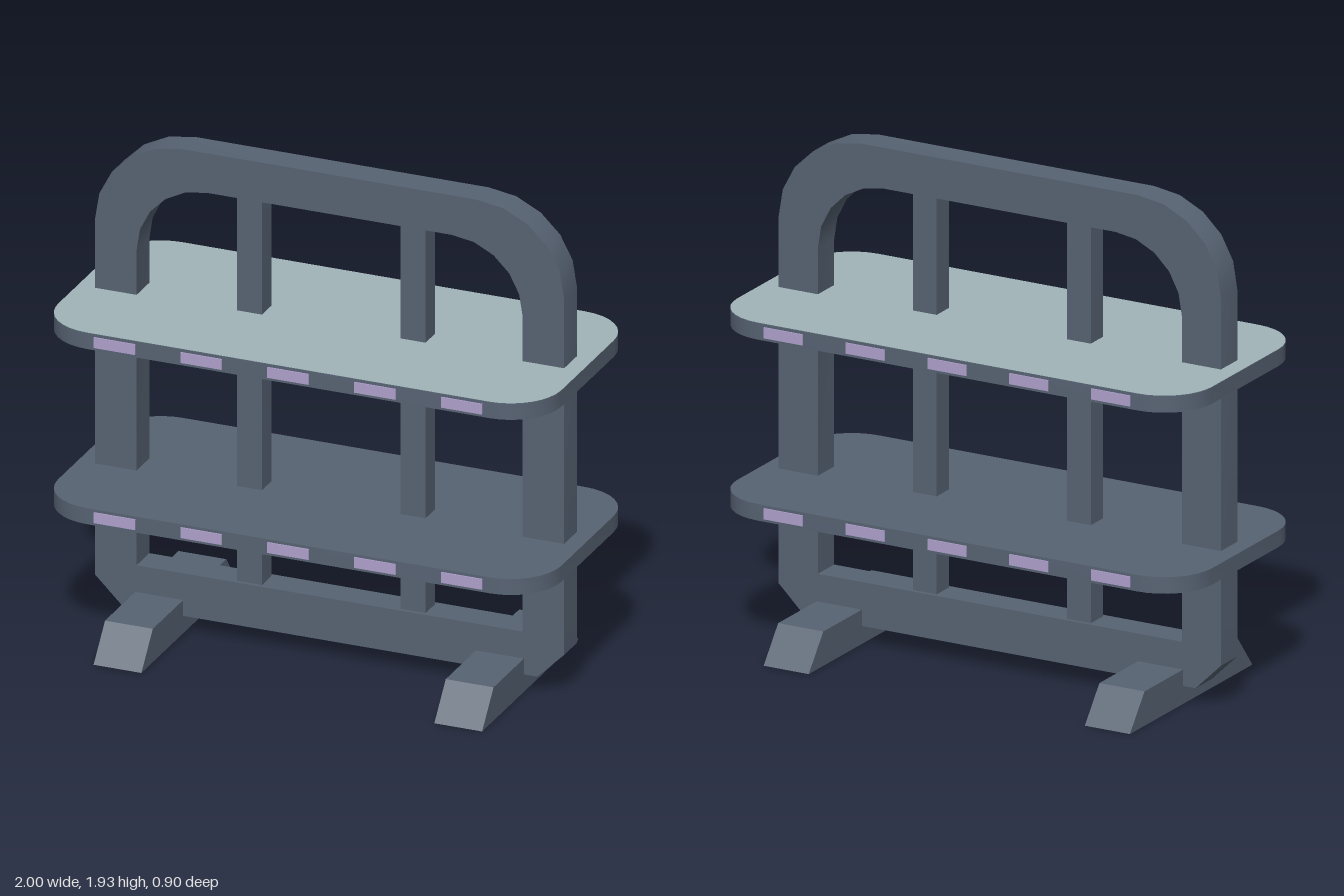
import * as THREE from 'three';
import { toCreasedNormals } from 'three/addons/utils/BufferGeometryUtils.js';

const mat = (name, color) => {
  const m = new THREE.MeshStandardMaterial({ color });
  m.name = name;
  return m;
};

// Points of a quarter ellipse from angle a (in quarter turns)
function corner(cx, cy, rx, ry, quarter, steps) {
  return Array.from({ length: steps + 1 }, (_, i) => {
    const t = (quarter + i / steps) * Math.PI / 2;
    return new THREE.Vector2(cx + rx * Math.cos(t), cy + ry * Math.sin(t));
  });
}

// Centred extrusion with smooth curves and sharp edges
function slab(shape, depth) {
  const g = new THREE.ExtrudeGeometry(shape, { depth, bevelEnabled: false });
  g.translate(0, 0, -depth / 2);
  return toCreasedNormals(g, 0.6);
}

export function createModel() {
  const model = new THREE.Group();
  model.name = 'shelfRack';
  const slate = mat('slate', 0x576373);
  const paleTop = mat('paleGreyGreen', 0xa0b4b8);
  const lilac = mat('lilac', 0xaea0cc);

  const add = (name, geometry, material, x = 0, y = 0, z = 0) => {
    const mesh = new THREE.Mesh(geometry, material);
    mesh.name = name;
    mesh.position.set(x, y, z);
    model.add(mesh);
    return mesh;
  };
  const v = (x, y) => new THREE.Vector2(x, y);

  // Upright frame: rounded top, chamfered bottom, one large opening
  const frame = new THREE.Shape([
    v(-0.825, 0.07), v(0.825, 0.07), v(0.932, 0.175),
    ...corner(0.582, 1.597, 0.35, 0.338, 0, 5),
    ...corner(-0.582, 1.597, 0.35, 0.338, 1, 5),
    v(-0.932, 0.175),
  ]);
  frame.holes.push(new THREE.Path([
    v(-0.767, 0.24), v(0.767, 0.24),
    ...corner(0.487, 1.5, 0.28, 0.277, 0, 5),
    ...corner(-0.487, 1.5, 0.28, 0.277, 1, 5),
  ]));
  add('frame', slab(frame, 0.12), slate);

  // Slim posts inside the frame
  const postGeo = new THREE.BoxGeometry(0.1, 1.537, 0.09);
  for (const s of [-1, 1]) add('post', postGeo, slate, s * 0.325, 1.0085, 0);

  // Shelves with rounded corners
  const outline = new THREE.Shape([
    ...corner(0.8, 0.245, 0.2, 0.2, 0, 8),
    ...corner(-0.8, 0.245, 0.2, 0.2, 1, 8),
    ...corner(-0.8, -0.245, 0.2, 0.2, 2, 8),
    ...corner(0.8, -0.245, 0.2, 0.2, 3, 8),
  ]);
  const shelfGeo = slab(outline, 0.064).rotateX(-Math.PI / 2);
  const tagGeo = new THREE.BoxGeometry(0.164, 0.042, 0.008);
  for (const y of [0.587, 1.287]) {
    add('shelf', shelfGeo, slate, 0, y, 0);
    // Label plates on both long edges
    for (const z of [-0.446, 0.446]) {
      for (let i = -2; i <= 2; i++) add('label', tagGeo, lilac, i * 0.345, y, z);
    }
  }
  const topGeo = new THREE.ShapeGeometry(outline).rotateX(-Math.PI / 2);
  add('upperShelfTop', topGeo, paleTop, 0, 1.321, 0);

  // Feet with sloped ends
  const footShape = new THREE.Shape([v(-0.45, 0), v(0.45, 0), v(0.343, 0.133), v(-0.343, 0.133)]);
  const footGeo = slab(footShape, 0.19).rotateY(Math.PI / 2);
  for (const s of [-1, 1]) add('foot', footGeo, slate, s * 0.677, 0, 0);

  return model;
}
